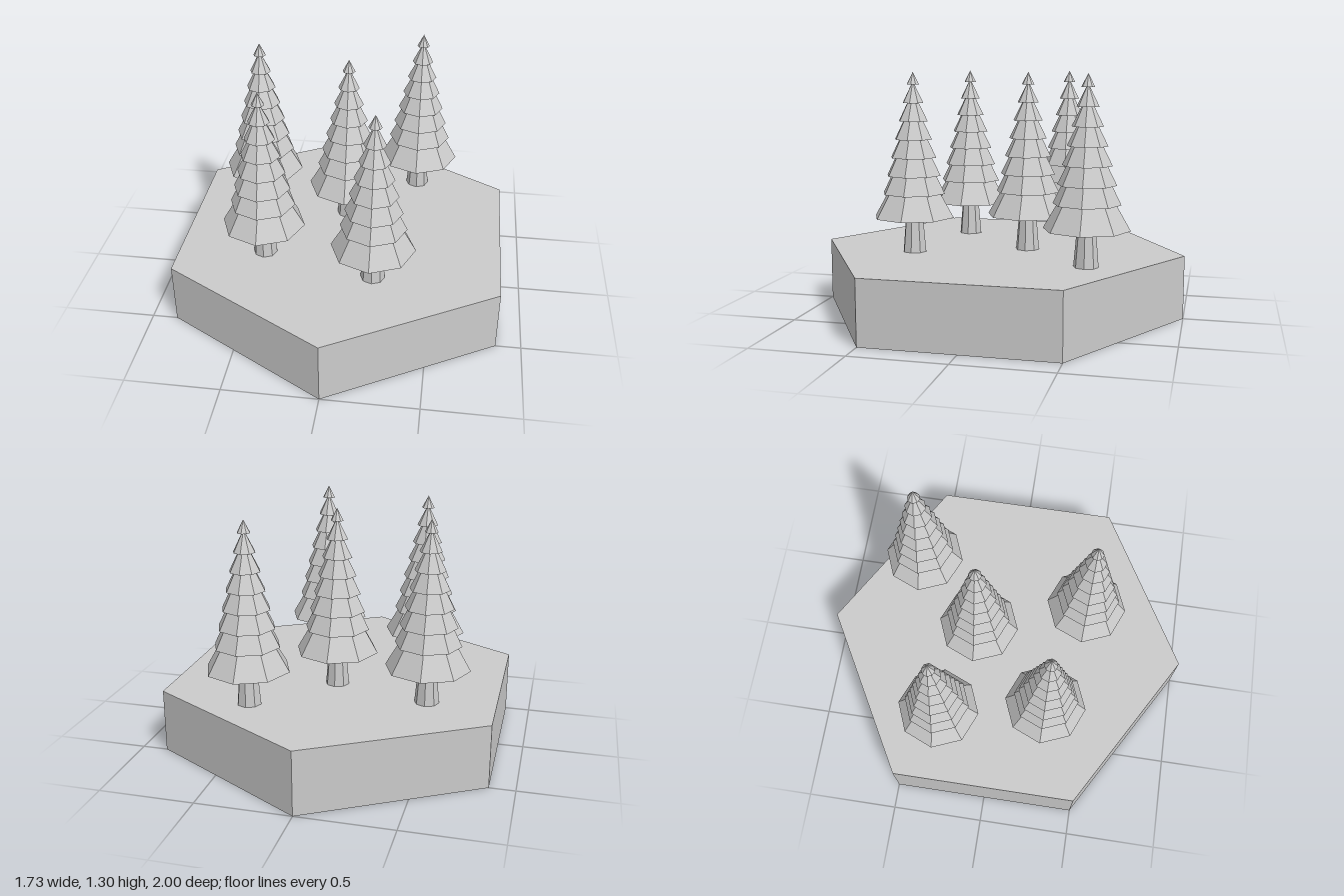
import * as THREE from 'three';

const GROUND = 0.34;
const SIDES = 8;

export function createModel() {
  const model = new THREE.Group();
  model.name = 'forestTile';
  const material = new THREE.MeshStandardMaterial({ color: 0xcccccc, flatShading: true });

  // Hexagonal ground slab, corners on the z axis
  const ground = new THREE.Mesh(new THREE.CylinderGeometry(1, 1, GROUND, 6), material);
  ground.name = 'ground';
  ground.position.y = GROUND / 2;
  model.add(ground);

  // Tapered trunk, reaching slightly into the foliage
  const trunkGeometry = new THREE.CylinderGeometry(0.047, 0.064, 0.2, SIDES);
  trunkGeometry.translate(0, 0.1, 0);

  // Stepped foliage: skirt radius and height (above ground) of each tier
  const tiers = [[0.22, 0.19]];
  for (let i = 0; i < 7; i++) tiers.push([0.172 - i * 0.023, 0.317 + i * 0.0962]);
  const profile = [new THREE.Vector2(0, tiers[0][1])];
  tiers.forEach(([radius, y], i) => {
    profile.push(new THREE.Vector2(radius, y));
    const next = tiers[i + 1];
    // Each tier narrows to a neck tucked under the skirt above
    if (next) profile.push(new THREE.Vector2(next[0] - 0.025, next[1]));
  });
  profile.push(new THREE.Vector2(0, 0.96));
  const foliageGeometry = new THREE.LatheGeometry(profile, SIDES);

  // Trees at [x, z]
  const spots = [[-0.51, -0.295], [0, -0.155], [0.37, -0.53], [-0.4, 0.275], [0.2, 0.425]];
  spots.forEach(([x, z], i) => {
    const tree = new THREE.Group();
    tree.name = `tree${i + 1}`;
    const trunk = new THREE.Mesh(trunkGeometry, material);
    trunk.name = 'trunk';
    const foliage = new THREE.Mesh(foliageGeometry, material);
    foliage.name = 'foliage';
    tree.add(trunk, foliage);
    tree.position.set(x, GROUND, z);
    model.add(tree);
  });
  return model;
}
